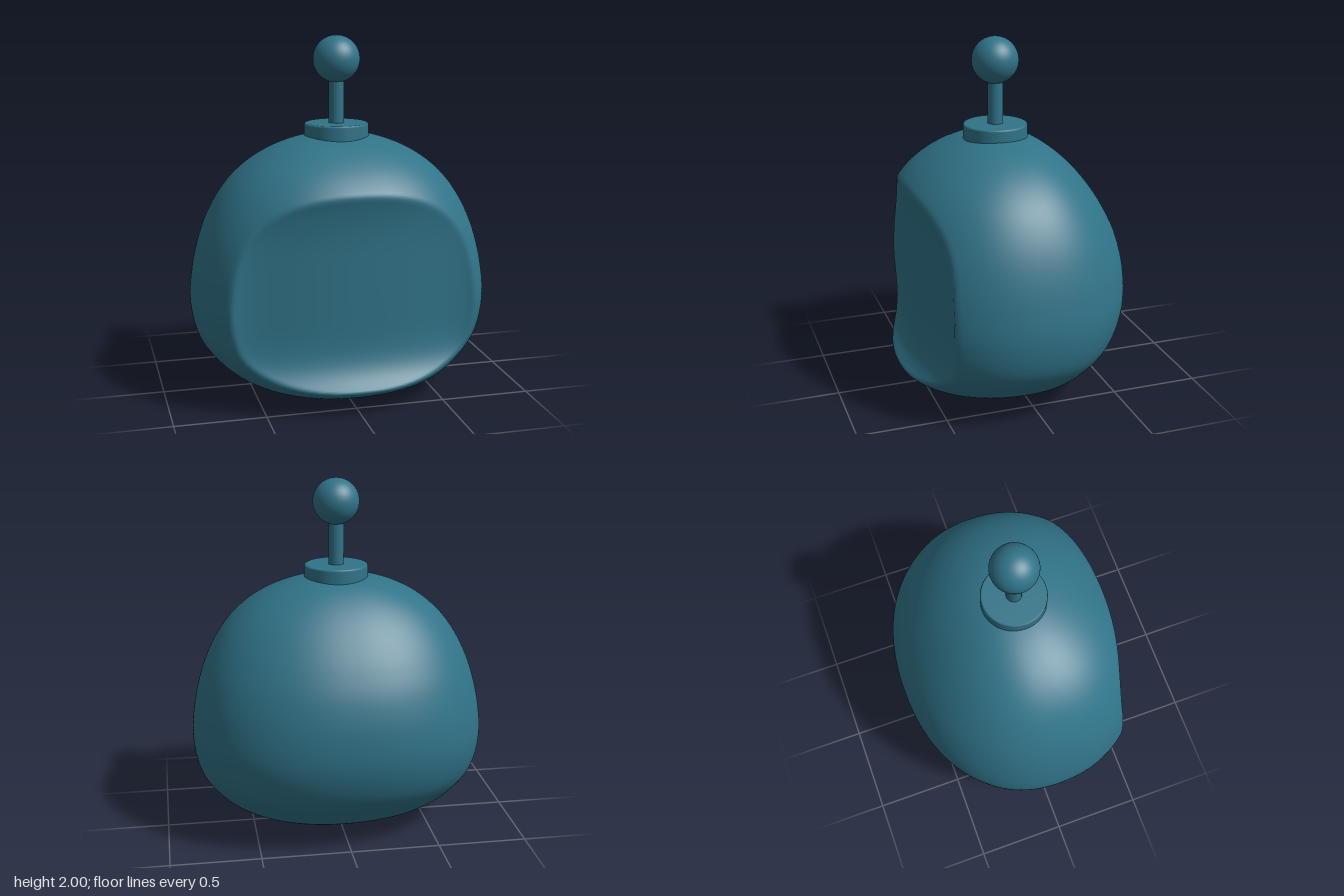
import * as THREE from 'three';

// Body sections from bottom to top: [height, half width, front z, back z]
const SECTIONS = [
  [0, 0, 0.1, 0.1], [0.006, 0.16, 0.24, -0.04], [0.025, 0.31, 0.37, -0.17],
  [0.06, 0.45, 0.5, -0.27], [0.13, 0.6, 0.635, -0.39], [0.22, 0.71, 0.695, -0.49],
  [0.35, 0.8, 0.735, -0.585], [0.53, 0.835, 0.76, -0.64], [0.72, 0.818, 0.76, -0.638],
  [0.9, 0.775, 0.725, -0.595], [1.05, 0.715, 0.665, -0.525], [1.18, 0.635, 0.59, -0.44],
  [1.28, 0.54, 0.5, -0.355], [1.36, 0.425, 0.39, -0.265], [1.42, 0.29, 0.27, -0.17],
  [1.455, 0.15, 0.16, -0.07], [1.467, 0, 0.05, 0.05],
];
const AXIS_Z = 0.05;

// Depth of the hollowed face panel, flaring out towards its rim
function panelZ(x, y) {
  const low = Math.max(0, (0.55 - y) / 0.41), high = Math.max(0, (y - 0.8) / 0.4);
  const side = Math.abs(x) / 0.68;
  return 0.54 + 0.115 * low ** 4 + 0.04 * high ** 3 - 0.09 * side ** 2 + 0.05 * side ** 8;
}

// Minimum of two depths with a small rounding where they meet
function softMin(a, b, k) {
  const h = Math.max(k - Math.abs(a - b), 0) / k;
  return Math.min(a, b) - h * h * k / 4;
}

const signedPow = (v, p) => Math.sign(v) * Math.abs(v) ** p;

function bodyGeometry(rows = 160, cols = 192) {
  const curve = (pick) => new THREE.CatmullRomCurve3(SECTIONS.map(pick), false, 'catmullrom', 0.5);
  const widths = curve(([y, w]) => new THREE.Vector3(w, y, 0));
  const depths = curve(([y, , f, b]) => new THREE.Vector3(f, y, b));
  const positions = [], index = [];
  for (let i = 0; i <= rows; i++) {
    const { x: halfWidth, y } = widths.getPoint(i / rows);
    const { x: front, z: back } = depths.getPoint(i / rows);
    // The section's middle drifts forward near the underside
    const mid = AXIS_Z + 0.05 * Math.max(0, 1 - y / 0.06);
    for (let j = 0; j < cols; j++) {
      const angle = (j / cols) * Math.PI * 2;
      const x = halfWidth * signedPow(Math.cos(angle), 2 / 2.2);
      const s = signedPow(Math.sin(angle), 2 / 2.2);
      let z = mid + s * (s > 0 ? front - mid : mid - back);
      if (s > 0) z = softMin(z, panelZ(x, y), 0.025);
      positions.push(x, y, z);
      if (i < rows) {
        const a = i * cols + j, b = i * cols + ((j + 1) % cols);
        index.push(a, a + cols, b, b, a + cols, b + cols);
      }
    }
  }
  const geometry = new THREE.BufferGeometry();
  geometry.setAttribute('position', new THREE.Float32BufferAttribute(positions, 3));
  geometry.setIndex(index);
  geometry.computeVertexNormals();
  return geometry;
}

export function createModel() {
  const model = new THREE.Group();
  model.name = 'helmet';
  const teal = new THREE.MeshStandardMaterial({ color: 0x307388 });
  teal.name = 'teal';

  const add = (name, geometry, y = 0, z = 0) => {
    const mesh = new THREE.Mesh(geometry, teal);
    mesh.name = name;
    mesh.position.set(0, y, z);
    model.add(mesh);
  };

  // Rounded shell with the hollowed face
  add('shell', bodyGeometry());

  // Antenna: collar with a softened edge, rod and ball
  const collar = [[0.18, 1.4], [0.18, 1.508], [0.177, 1.515], [0.17, 1.518], [0, 1.518]];
  add('antennaCollar', new THREE.LatheGeometry(collar.map(([r, y]) => new THREE.Vector2(r, y)), 64), 0, AXIS_Z);
  add('antennaRod', new THREE.CylinderGeometry(0.043, 0.043, 0.3, 32), 1.65, AXIS_Z);
  add('antennaBall', new THREE.SphereGeometry(0.13, 48, 32), 1.87, AXIS_Z);

  return model;
}
